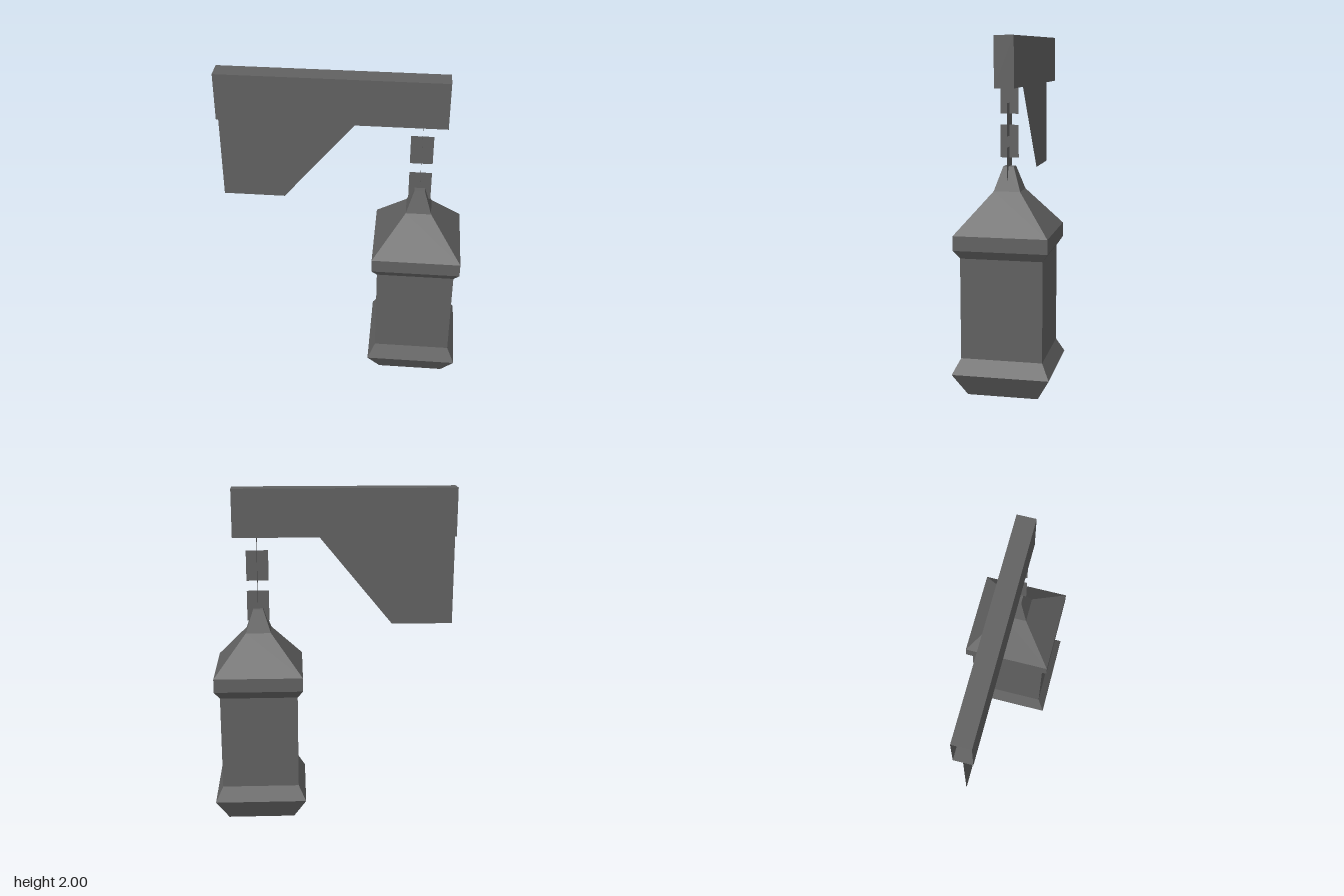
import * as THREE from 'three';

const LANTERN_X = 0.45;

export function createModel() {
  const group = new THREE.Group();
  const material = new THREE.MeshStandardMaterial({
    color: 0x616161, flatShading: true, side: THREE.DoubleSide,
  });

  const add = (name, geometry, x = 0, y = 0, z = 0) => {
    const mesh = new THREE.Mesh(geometry, material);
    mesh.name = name;
    mesh.position.set(x, y, z);
    group.add(mesh);
    return mesh;
  };

  // Beam: a box left open at the wall end (-x)
  const beam = new THREE.BoxGeometry(1.315, 0.284, 0.11);
  const index = Array.from(beam.index.array);
  index.splice(6, 6);
  beam.setIndex(index);
  beam.clearGroups();
  add('beam', beam, -0.0665, 1.858);

  // Thin wall bracket under the beam
  const bracket = new THREE.Shape([
    [-0.724, 1.174], [-0.358, 1.174], [0.087, 1.716], [-0.724, 1.716],
  ].map(([x, y]) => new THREE.Vector2(x, y)));
  add('bracket', new THREE.ShapeGeometry(bracket));

  // Chain: flat links, alternately turned by a quarter
  for (let i = 0; i < 4; i++) {
    const sideways = i % 2 === 0;
    const link = add('chainLink', new THREE.PlaneGeometry(sideways ? 0.104 : 0.132, 0.183),
      LANTERN_X, 1.663 - i * 0.122);
    if (sideways) link.rotation.y = Math.PI / 2;
  }

  // Lantern: square cross-sections as [half width, height]
  const profile = [
    [0, 0], [0.2, 0], [0.274, 0.134], [0.23, 0.22], [0.23, 0.79],
    [0.262, 0.838], [0.262, 0.92], [0.075, 1.145], [0.03, 1.28], [0, 1.28],
  ].map(([half, y]) => new THREE.Vector2(half * Math.SQRT2, y));
  add('lantern', new THREE.LatheGeometry(profile, 4, Math.PI / 4), LANTERN_X);

  return group;
}
